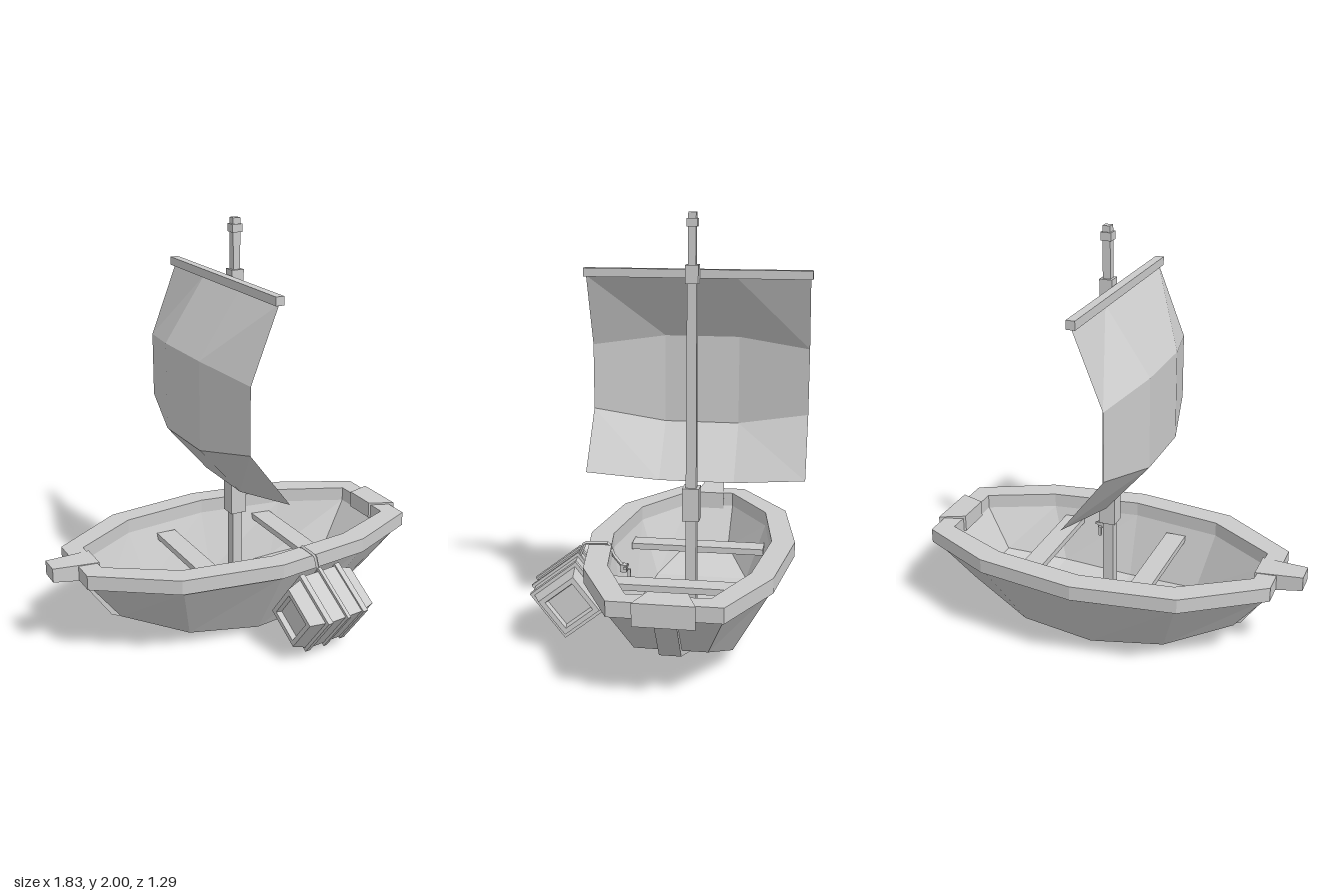
import * as THREE from 'three';

const MAT = new THREE.MeshStandardMaterial({ color: 0xcccccc, flatShading: true });
const THIN = new THREE.MeshStandardMaterial({ color: 0xcccccc, flatShading: true, side: THREE.DoubleSide });
const CZ = -0.1; // centre line of the boat
const MX = 0.045; // mast position

function mesh(name, geometry, material = MAT) {
  const m = new THREE.Mesh(geometry, material);
  m.name = name;
  return m;
}

function box(name, w, h, d, x, y, z) {
  const m = mesh(name, new THREE.BoxGeometry(w, h, d));
  m.position.set(x, y, z);
  return m;
}

// Square post that may taper, between two heights
function post(name, y0, y1, w0, w1 = w0) {
  const g = new THREE.CylinderGeometry(w1 / Math.SQRT2, w0 / Math.SQRT2, y1 - y0, 4);
  g.rotateY(Math.PI / 4).translate(MX, (y0 + y1) / 2, CZ + 0.003);
  return mesh(name, g);
}

// Joins rows of points with quads; 'cap' closes the first or last ring across the boat
function loft(rows, closed, cap) {
  const n = rows[0].length, index = [];
  const quad = (a, b, c, d) => index.push(a, b, c, a, c, d);
  for (let r = 0; r < rows.length - 1; r++)
    for (let i = 0; i < (closed ? n : n - 1); i++) {
      const j = (i + 1) % n;
      quad(r * n + i, r * n + j, (r + 1) * n + j, (r + 1) * n + i);
    }
  const last = (rows.length - 1) * n;
  for (let i = 0; cap && i < n / 2 - 1; i++) {
    if (cap === 'first') quad(n - 1 - i, n - 2 - i, i + 1, i);
    else quad(last + i, last + i + 1, last + n - 2 - i, last + n - 1 - i);
  }
  const g = new THREE.BufferGeometry();
  g.setAttribute('position', new THREE.Float32BufferAttribute(rows.flat(2), 3));
  g.setIndex(index);
  g.computeVertexNormals();
  return g;
}

// Mirrors stations [x, y, halfWidth] into a closed ring
function ring(stations) {
  const side = s => stations.map(([x, y, w]) => [x, y, CZ + s * w]);
  return [...side(1), ...side(-1).reverse()];
}

// Block whose width and height vary along x
function taperBlock(name, x0, x1, w0, w1, lo0, lo1, hi0, hi1) {
  const g = new THREE.BoxGeometry(1, 1, 1), p = g.attributes.position;
  for (let i = 0; i < p.count; i++) {
    const left = p.getX(i) < 0, up = p.getY(i) > 0;
    p.setXYZ(i, left ? x0 : x1,
      up ? (left ? hi0 : hi1) : (left ? lo0 : lo1),
      CZ + p.getZ(i) * (left ? w0 : w1));
  }
  g.computeVertexNormals();
  return mesh(name, g);
}

function createHull() {
  const hull = new THREE.Group();
  hull.name = 'hull';
  const rimOut = [[-0.8, 0.175], [-0.44, 0.42], [MX, 0.49], [0.53, 0.42], [0.89, 0.245]];
  const rimIn = [[-0.71, 0.12], [-0.395, 0.32], [MX, 0.38], [0.48, 0.32], [0.8, 0.18]];
  const at = (list, y, k = 1) => ring(list.map(([x, w]) => [MX + (x - MX) * k, y, w * k]));
  const bottom = ring([[-0.62, 0.19, 0.11], [-0.31, 0.07, 0.21], [MX, 0.03, 0.25], [0.4, 0.065, 0.235], [0.71, 0.19, 0.16]]);
  const floor = ring([[-0.59, 0.21, 0.11], [-0.33, 0.13, 0.23], [MX, 0.1, 0.28], [0.4, 0.13, 0.26], [0.67, 0.21, 0.13]]);

  hull.add(mesh('outerHull', loft([bottom, at(rimOut, 0.4, 0.975)], true, 'first')));
  hull.add(mesh('rim', loft([at(rimOut, 0.4, 0.94), at(rimOut, 0.4), at(rimOut, 0.47), at(rimIn, 0.47), at(rimIn, 0.4)], true)));
  hull.add(mesh('innerHull', loft([at(rimIn, 0.4), floor], true, 'last')));

  // Keel strip along the bottom
  const outer = [[-0.8, 0.4], [-0.64, 0.172], [-0.31, 0.05], [MX, 0], [0.4, 0.05], [0.73, 0.172], [0.89, 0.4]];
  const inner = [[-0.76, 0.4], [-0.6, 0.2], [-0.3, 0.085], [MX, 0.045], [0.39, 0.085], [0.69, 0.2], [0.85, 0.4]];
  const shape = new THREE.Shape([...outer, ...inner.reverse()].map(p => new THREE.Vector2(...p)));
  const keel = mesh('keel', new THREE.ExtrudeGeometry(shape, { depth: 0.096, bevelEnabled: false }));
  keel.position.z = CZ - 0.048;
  hull.add(keel);

  hull.add(taperBlock('bowBlock', -0.92, -0.7, 0.1, 0.145, 0.41, 0.385, 0.478, 0.472));
  hull.add(taperBlock('sternBlock', 0.79, 0.914, 0.17, 0.265, 0.4, 0.375, 0.482, 0.477));
  for (const x of [-0.185, 0.37]) hull.add(box('bench', 0.1, 0.03, 0.655, x, 0.345, CZ));
  return hull;
}

function createRig() {
  const rig = new THREE.Group();
  rig.name = 'rig';
  rig.add(post('mast', 0.08, 1.72, 0.054, 0.044));
  rig.add(post('lowerCollar', 0.56, 0.72, 0.08));
  rig.add(post('upperCollar', 1.68, 1.765, 0.06));
  rig.add(post('topMast', 1.74, 2, 0.036));
  rig.add(post('mastCap', 1.935, 1.972, 0.05));
  rig.add(box('yard', 0.04, 0.04, 1.06, -0.012, 1.72, -0.11));

  // Billowing sail: edge and middle profiles
  const edge = [[-0.01, 1.705], [-0.145, 1.36], [-0.145, 1.045], [0.06, 0.775]];
  const middle = [[-0.02, 1.705], [-0.225, 1.4], [-0.225, 0.975], [-0.015, 0.73]];
  const rows = edge.map((e, i) => [[...e, 0.41], [...middle[i], 0.07], [...middle[i], -0.29], [...e, -0.63]]);
  rig.add(mesh('sail', loft(rows, false), THIN));
  return rig;
}

// Four-sided turned piece; profile is [halfSide, position along axis]
function squareLathe(name, profile) {
  const pts = profile.map(([r, t]) => new THREE.Vector2(r * Math.SQRT2, t));
  return mesh(name, new THREE.LatheGeometry(pts, 4).rotateY(Math.PI / 4).rotateZ(-Math.PI / 2));
}

function createBarrel() {
  const barrel = new THREE.Group();
  barrel.name = 'barrel';
  const half = [[0, 0.165], [0.07, 0.165], [0.078, 0.19], [0.1, 0.19], [0.126, 0.09]];
  barrel.add(squareLathe('staves', [...half.map(([r, t]) => [r, -t]), ...half.slice().reverse()]));
  const hoop = (name, t, w, r) => barrel.add(squareLathe(name, [[r - 0.02, t - w], [r, t - w], [r, t + w], [r - 0.02, t + w]]));
  hoop('leftHoop', -0.105, 0.014, 0.134);
  hoop('rightHoop', 0.105, 0.014, 0.134);
  hoop('ropeLoop', 0, 0.009, 0.139);
  barrel.rotation.set(0.64, 0.14, 0, 'YXZ');
  barrel.position.set(0.225, 0.235, 0.445);
  return barrel;
}

function createRope() {
  const rope = new THREE.Group();
  rope.name = 'rope';
  const path = new THREE.CurvePath();
  const pts = [[0.22, 0.39, 0.42], [0.217, 0.475, 0.385], [0.213, 0.478, 0.27], [0.21, 0.42, 0.25], [0.21, 0.36, 0.2]]
    .map(p => new THREE.Vector3(...p));
  for (let i = 1; i < pts.length; i++) path.add(new THREE.LineCurve3(pts[i - 1], pts[i]));
  rope.add(mesh('ropeLine', new THREE.TubeGeometry(path, 24, 0.009, 4)));
  // Knot hanging inside the rim
  rope.add(box('knot', 0.035, 0.035, 0.03, 0.21, 0.36, 0.2));
  rope.add(box('knotBar', 0.06, 0.012, 0.014, 0.21, 0.365, 0.19));
  rope.add(box('ropeEnd', 0.014, 0.05, 0.014, 0.21, 0.33, 0.175));
  return rope;
}

export function createModel() {
  const model = new THREE.Group();
  model.name = 'sailboat';
  model.add(createHull(), createRig(), createBarrel(), createRope());
  return model;
}
